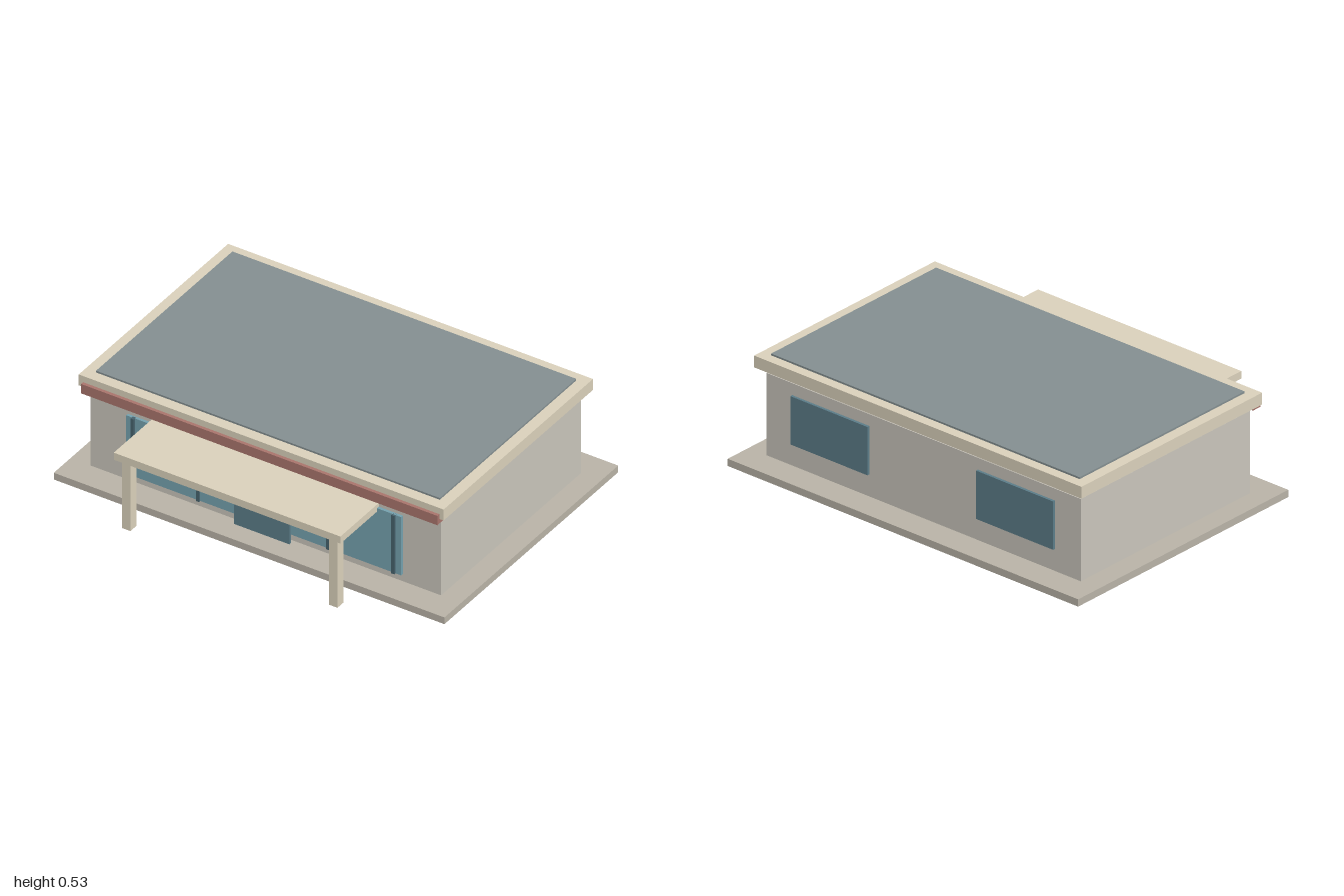
import * as THREE from 'three';

const paint = (color) => new THREE.MeshStandardMaterial({ color });

export function createModel() {
  const house = new THREE.Group();
  house.name = 'house';

  const stone = paint(0xb8b2a6);
  const plaster = paint(0xc8c4ba);
  const cream = paint(0xd9d0ba);
  const red = paint(0xa8746c);
  const slate = paint(0x838e90);
  const glass = paint(0x74a0ad);
  const darkGlass = paint(0x5b7c88);
  const frame = paint(0x46616c);

  // Box given by its [min, max] extent on each axis
  function block(name, material, [x0, x1], [y0, y1], [z0, z1]) {
    const mesh = new THREE.Mesh(new THREE.BoxGeometry(x1 - x0, y1 - y0, z1 - z0), material);
    mesh.position.set((x0 + x1) / 2, (y0 + y1) / 2, (z0 + z1) / 2);
    mesh.name = name;
    house.add(mesh);
  }

  // Foundation and walls
  block('foundation', stone, [-1, 1], [0, 0.035], [-0.77, 0.597]);
  block('walls', plaster, [-0.897, 0.897], [0.035, 0.432], [-0.635, 0.465]);

  // Roof slab floating just above the walls, with its inset covering
  block('roofSlab', cream, [-0.934, 0.934], [0.461, 0.518], [-0.673, 0.502]);
  block('roofCovering', slate, [-0.88, 0.88], [0.51, 0.527], [-0.624, 0.449]);
  block('frontFascia', red, [-0.912, 0.912], [0.437, 0.486], [0.468, 0.518]);

  // Front glazing with mullions and door
  block('frontWindow', glass, [-0.704, 0.704], [0.076, 0.38], [0.468, 0.482]);
  for (const x of [-0.667, -0.333, 0, 0.333, 0.667]) {
    block('mullion', frame, [x - 0.008, x + 0.008], [0.076, 0.38], [0.474, 0.492]);
  }
  block('door', darkGlass, [-0.142, 0.142], [0.035, 0.295], [0.484, 0.498]);

  // Entrance canopy
  block('canopy', cream, [-0.58, 0.58], [0.362, 0.399], [0.465, 0.77]);

  // Canopy posts and rear windows, mirrored left and right
  for (const side of [-1, 1]) {
    const x = side * 0.53;
    block('canopyPost', cream, [x - 0.022, x + 0.022], [0.005, 0.364], [0.703, 0.75]);
    const w = side * 0.53;
    block('rearWindow', darkGlass, [w - 0.22, w + 0.22], [0.142, 0.375], [-0.648, -0.634]);
  }

  return house;
}
